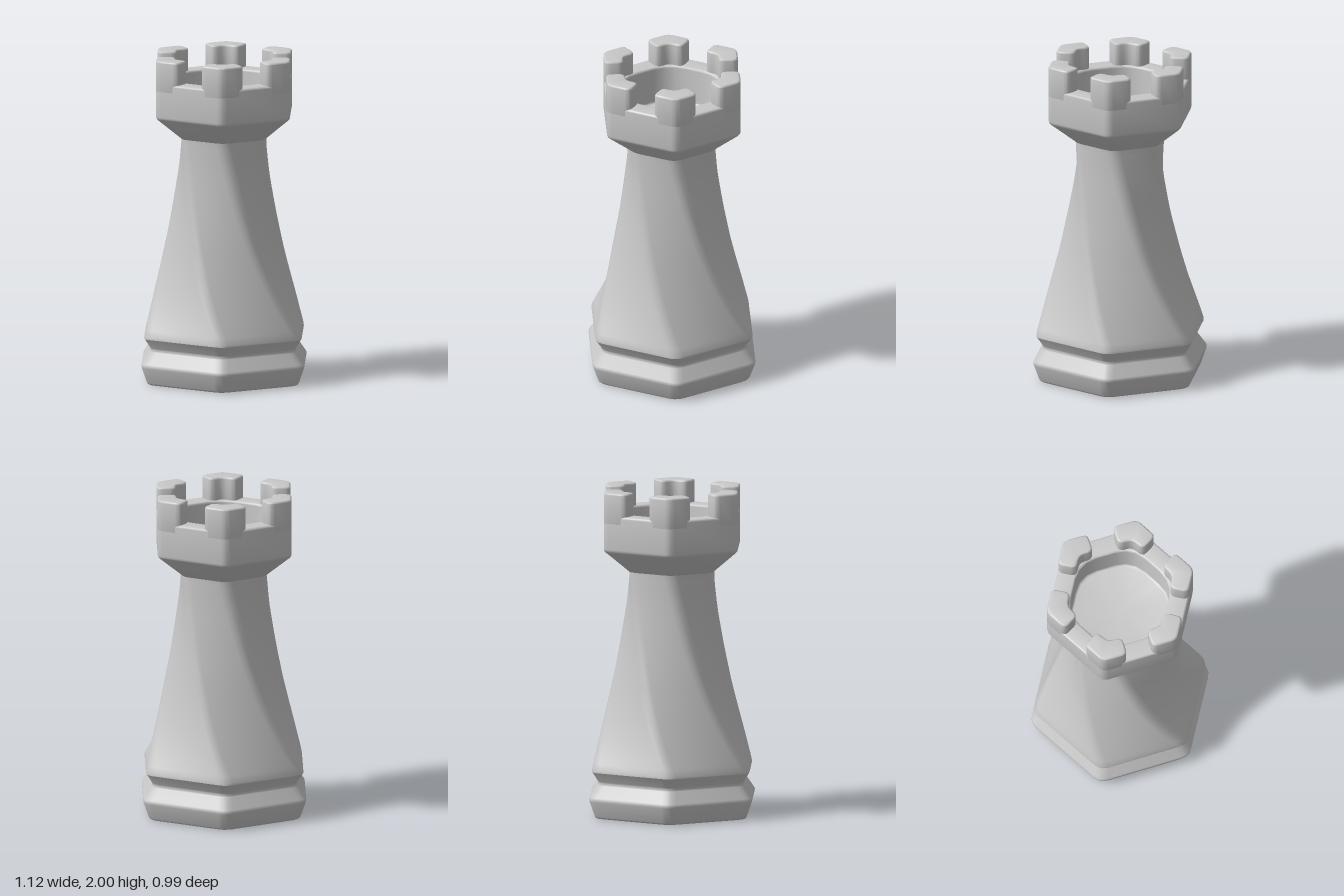
import * as THREE from 'three';
import { toCreasedNormals } from 'three/addons/utils/BufferGeometryUtils.js';

const HEX = Math.PI / 3;
const CREASE = 0.75;

// Rounds the corners of a polyline of any dimension, reaching d along each edge.
function fillet(points, d, closed) {
  const n = points.length, out = [];
  const toward = (p, q) => {
    const len = Math.hypot(p[0] - q[0], p[1] - q[1]);
    const t = Math.min(d / len, 0.42);
    return p.map((v, k) => v + (q[k] - v) * t);
  };
  points.forEach((p, i) => {
    if (!closed && (i === 0 || i === n - 1)) { out.push(p); return; }
    const a = toward(p, points[(i + n - 1) % n]);
    const b = toward(p, points[(i + 1) % n]);
    for (let s = 0; s <= 3; s++) {
      const t = s / 3, u = 1 - t;
      out.push(p.map((v, k) => u * u * a[k] + 2 * u * t * v + t * t * b[k]));
    }
  });
  return out;
}

// Round-cornered hexagon as [x, z] points.
function hexagon(radius, corner, turn) {
  if (radius < 1e-4) return Array.from({ length: 24 }, () => [0, 0]);
  const pts = [];
  for (let k = 0; k < 6; k++) {
    const a = k * HEX + turn;
    pts.push([radius * Math.cos(a), radius * Math.sin(a)]);
  }
  return fillet(pts, corner, true);
}

// Skins hexagonal rings given as [y, radius, corner rounding].
function loft(profile, turnAt = () => 0) {
  const pos = [], index = [], n = 24;
  for (const [y, r, corner] of profile) {
    for (const [x, z] of hexagon(r, corner, turnAt(y))) pos.push(x, y, z);
  }
  for (let i = 0; i < profile.length - 1; i++) {
    for (let j = 0; j < n; j++) {
      const a = i * n + j, b = i * n + (j + 1) % n, c = a + n, d = b + n;
      index.push(a, c, d, a, d, b);
    }
  }
  const geo = new THREE.BufferGeometry();
  geo.setAttribute('position', new THREE.Float32BufferAttribute(pos, 3));
  geo.setIndex(index);
  return toCreasedNormals(geo, CREASE);
}

export function createModel() {
  const group = new THREE.Group();
  const stone = new THREE.MeshStandardMaterial({ color: 0xc8c8c8 });
  stone.name = 'grey stone';
  const add = (name, geo) => {
    const mesh = new THREE.Mesh(geo, stone);
    mesh.name = name;
    group.add(mesh);
    return mesh;
  };

  // Foot with a waist groove under the collar
  add('base', loft(fillet([
    [0, 0, 0.05], [0, 0.53, 0.05], [0.12, 0.576, 0.05],
    [0.215, 0.505, 0.05], [0.285, 0.553, 0.05],
  ], 0.015, false)));

  // Tapering shaft, twisted by one sixth of a turn
  const curve = new THREE.CatmullRomCurve3([
    [0.3, 0.552], [0.45, 0.49], [0.6, 0.436], [0.75, 0.392], [0.9, 0.358],
    [1.05, 0.331], [1.2, 0.312], [1.35, 0.3], [1.5, 0.297],
  ].map(([y, r]) => new THREE.Vector3(r, y, 0)));
  const shaft = curve.getPoints(32).map((p) => [p.y, p.x, 0.05]);
  add('shaft', loft([[0.285, 0.553, 0.05], ...shaft],
    (y) => HEX * THREE.MathUtils.clamp((y - 0.3) / 1.2, 0, 1)));

  // Flared head with a hollow top
  add('head', loft(fillet([
    [1.5, 0.297, 0.05], [1.64, 0.471, 0.035], [1.86, 0.471, 0.035],
    [1.86, 0.336, 0.11], [1.62, 0.336, 0.11], [1.62, 0, 0.11],
  ], 0.015, false)));

  // Six battlements, one on each corner, with parallel-sided gaps between
  const gap = 0.08, c = Math.cos(HEX / 2), s = Math.sin(HEX / 2);
  const side = (apothem, sign) => [apothem * c + gap * s, sign * (apothem * s - gap * c)];
  const outline = fillet([
    [0.471, 0], side(0.408, 1), side(0.291, 1),
    [0.336, 0], side(0.291, -1), side(0.408, -1),
  ], 0.035, true);
  const bevel = 0.012;
  const block = new THREE.ExtrudeGeometry(
    new THREE.Shape(outline.map(([x, y]) => new THREE.Vector2(x, y))), {
      depth: 0.2 - 2 * bevel, bevelEnabled: true, bevelThickness: bevel,
      bevelSize: bevel, bevelOffset: -bevel, bevelSegments: 3,
    });
  block.rotateX(-Math.PI / 2);
  block.translate(0, 1.8 + bevel, 0);
  const battlement = toCreasedNormals(block, CREASE);
  for (let k = 0; k < 6; k++) {
    add('battlement' + (k + 1), battlement).rotation.y = k * HEX;
  }
  return group;
}
